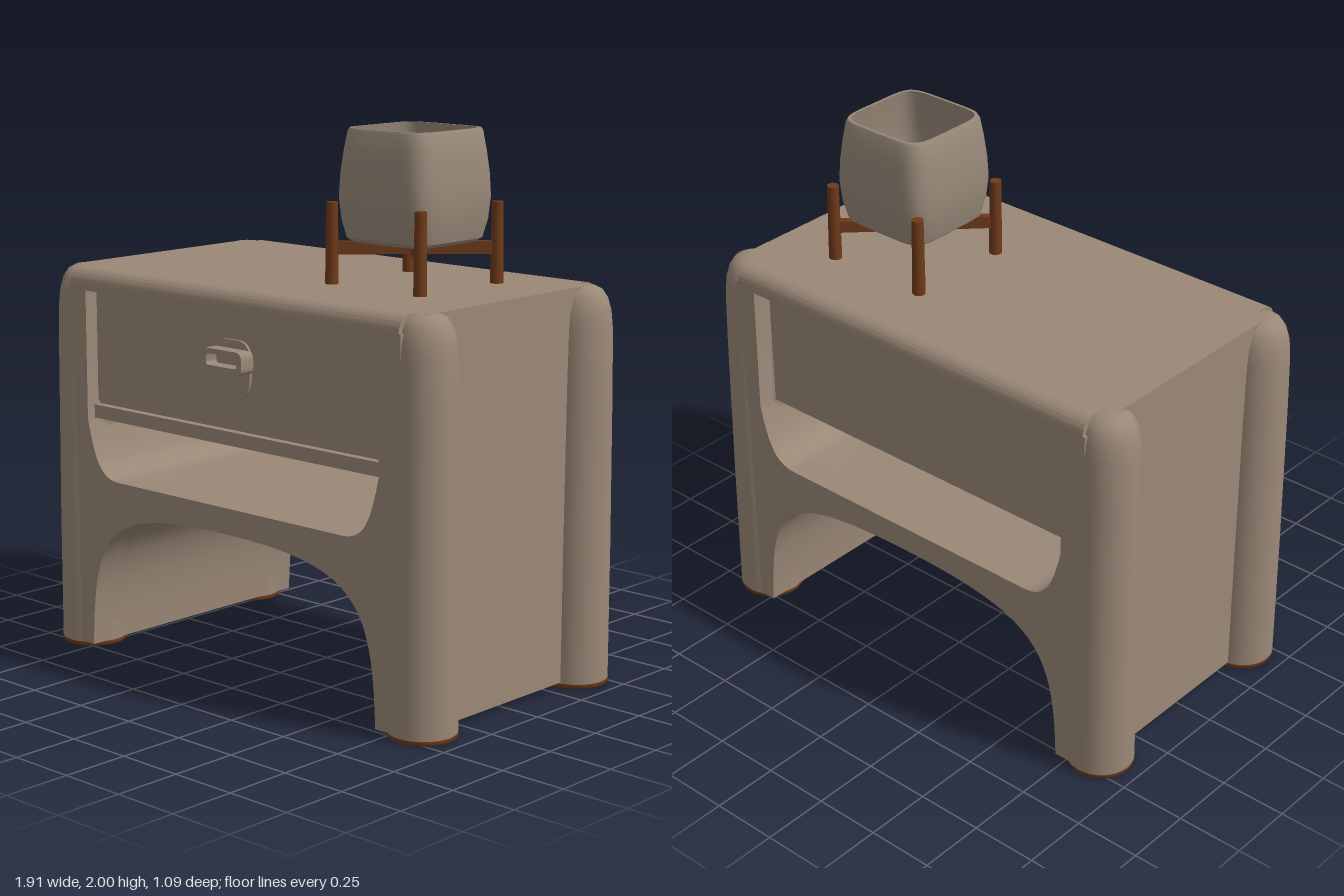
import * as THREE from 'three';
import { toCreasedNormals } from 'three/addons/utils/BufferGeometryUtils.js';

const body = new THREE.MeshStandardMaterial({ name: 'taupe', color: 0x9a8877 });
const wood = new THREE.MeshStandardMaterial({ name: 'brownWood', color: 0x6e3a1a });
const clay = new THREE.MeshStandardMaterial({ name: 'potTaupe', color: 0x988979 });

export function createModel() {
  const model = new THREE.Group();
  model.name = 'nightstand';

  const add = (name, geometry, material, x = 0, y = 0, z = 0, parent = model) => {
    const mesh = new THREE.Mesh(geometry, material);
    mesh.name = name;
    mesh.position.set(x, y, z);
    parent.add(mesh);
    return mesh;
  };
  const box = (name, w, y0, y1, z0, z1) =>
    add(name, new THREE.BoxGeometry(w, y1 - y0, z1 - z0), body, 0, (y0 + y1) / 2, (z0 + z1) / 2);
  const lathe = (pts, segments = 36) =>
    toCreasedNormals(new THREE.LatheGeometry(pts.map(p => new THREE.Vector2(...p)), segments), 0.6);
  const extrude = (shape, depth) =>
    toCreasedNormals(new THREE.ExtrudeGeometry(shape, { depth, bevelEnabled: false, curveSegments: 20 }), 0.5);

  // Arched frame with a rounded open shelf, cut to a given half width
  const frame = (name, half, z0, z1) => {
    const s = new THREE.Shape();
    s.moveTo(-half, 0.02);
    s.lineTo(-0.715, 0.02);
    s.bezierCurveTo(-0.70, 0.47, -0.62, 0.575, 0, 0.575);
    s.bezierCurveTo(0.62, 0.575, 0.70, 0.47, 0.715, 0.02);
    s.lineTo(half, 0.02);
    s.lineTo(half, 1.39);
    s.lineTo(-half, 1.39);
    s.closePath();
    const h = new THREE.Path();
    h.moveTo(-0.725, 1.37);
    h.lineTo(-0.725, 0.89);
    h.bezierCurveTo(-0.69, 0.74, -0.66, 0.67, -0.56, 0.67);
    h.lineTo(0.56, 0.67);
    h.bezierCurveTo(0.66, 0.67, 0.69, 0.74, 0.725, 0.89);
    h.lineTo(0.725, 1.37);
    h.closePath();
    s.holes.push(h);
    add(name, extrude(s, z1 - z0), body, 0, 0, z0);
  };
  frame('sidesAndShelf', 0.86, -0.43, 0.43);
  frame('frontFrame', 0.82, 0.43, 0.525);
  frame('backFrame', 0.82, -0.535, -0.43);

  // Top board and its rounded front and back rails
  box('topBoard', 1.72, 1.37, 1.45, -0.43, 0.43);
  const rail = new THREE.Shape();
  rail.moveTo(-0.525, 1.37);
  rail.lineTo(0.535, 1.37);
  rail.lineTo(0.535, 1.39);
  rail.quadraticCurveTo(0.53, 1.45, 0.47, 1.45);
  rail.lineTo(-0.46, 1.45);
  rail.quadraticCurveTo(-0.52, 1.45, -0.525, 1.39);
  rail.closePath();
  add('topRails', extrude(rail, 1.62), body, -0.81).rotation.y = Math.PI / 2;

  // Round corner legs with domed tops and thin brown foot rings
  const legGeo = lathe([
    [0, 0.004], [0.113, 0.004], [0.121, 0.015], [0.12, 0.5], [0.115, 1.1], [0.111, 1.3],
    [0.105, 1.36], [0.092, 1.405], [0.073, 1.434], [0.045, 1.448], [0, 1.451],
  ]);
  const ringGeo = lathe([[0.108, 0], [0.118, 0], [0.122, 0.006], [0.122, 0.016], [0.118, 0.02]]);
  for (const side of [-1, 1]) {
    for (const z of [0.415, -0.425]) {
      add('leg', legGeo, body, side * 0.832, 0, z);
      add('footRing', ringGeo, wood, side * 0.832, 0, z);
    }
  }

  // Drawer case, drawer front and lower rail
  box('drawerCase', 1.45, 0.89, 1.38, -0.46, 0.465);
  box('drawerFront', 1.43, 0.955, 1.362, 0.46, 0.48);
  box('drawerRail', 1.44, 0.89, 0.94, 0.46, 0.495);

  // Handle: rounded back plate and a projecting pull
  const plate = new THREE.Shape();
  plate.moveTo(-0.09, 1.14);
  plate.absarc(0, 1.14, 0.09, Math.PI, Math.PI * 2, false);
  plate.lineTo(0.095, 1.2);
  plate.quadraticCurveTo(0.09, 1.27, 0.03, 1.27);
  plate.lineTo(-0.03, 1.27);
  plate.quadraticCurveTo(-0.09, 1.27, -0.095, 1.2);
  plate.closePath();
  add('handlePlate', extrude(plate, 0.012), body, 0, 0, 0.478);
  const roundRect = (Type, w, y0, y1, r) => {
    const p = new Type();
    p.moveTo(-w + r, y0);
    p.lineTo(w - r, y0);
    p.quadraticCurveTo(w, y0, w, y0 + r);
    p.lineTo(w, y1 - r);
    p.quadraticCurveTo(w, y1, w - r, y1);
    p.lineTo(-w + r, y1);
    p.quadraticCurveTo(-w, y1, -w, y1 - r);
    p.lineTo(-w, y0 + r);
    p.quadraticCurveTo(-w, y0, -w + r, y0);
    return p;
  };
  const pull = roundRect(THREE.Shape, 0.1, 1.155, 1.24, 0.03);
  pull.holes.push(roundRect(THREE.Path, 0.075, 1.18, 1.222, 0.012));
  add('handlePull', extrude(pull, 0.06), body, 0, 0, 0.482);

  // Plant stand: four posts joined by a cross
  const planter = new THREE.Group();
  planter.name = 'planter';
  planter.position.set(0.383, 1.45, -0.042);
  model.add(planter);
  const reach = 0.206;
  const postGeo = new THREE.CylinderGeometry(0.021, 0.024, 0.29, 16);
  const armGeo = new THREE.BoxGeometry(reach * Math.SQRT2, 0.045, 0.028);
  for (let i = 0; i < 4; i++) {
    const a = Math.PI / 4 + i * Math.PI / 2;
    const x = Math.sign(Math.cos(a)) * reach, z = Math.sign(Math.sin(a)) * reach;
    add('standPost', postGeo, wood, x, 0.145, z, planter);
    add('standArm', armGeo, wood, x / 2, 0.128, z / 2, planter).rotation.y = -a;
  }

  // Pot: a lathe pushed out to a soft square
  const potGeo = new THREE.LatheGeometry([
    [0, 0.152], [0.175, 0.152], [0.19, 0.165], [0.205, 0.23], [0.212, 0.31], [0.208, 0.39],
    [0.199, 0.47], [0.188, 0.54], [0.183, 0.55], [0.173, 0.55], [0.176, 0.53], [0.194, 0.42],
    [0.198, 0.31], [0.188, 0.2], [0.172, 0.165],
  ].map(p => new THREE.Vector2(...p)), 64);
  const pos = potGeo.attributes.position;
  for (let i = 0; i < pos.count; i++) {
    const x = pos.getX(i), z = pos.getZ(i), r = Math.hypot(x, z);
    if (r < 1e-6) continue;
    const k = Math.pow(Math.abs(x / r) ** 6 + Math.abs(z / r) ** 6, -1 / 6);
    pos.setXYZ(i, x * k, pos.getY(i), z * k);
  }
  add('pot', toCreasedNormals(potGeo, 0.6), clay, 0, 0, 0, planter);

  return model;
}
